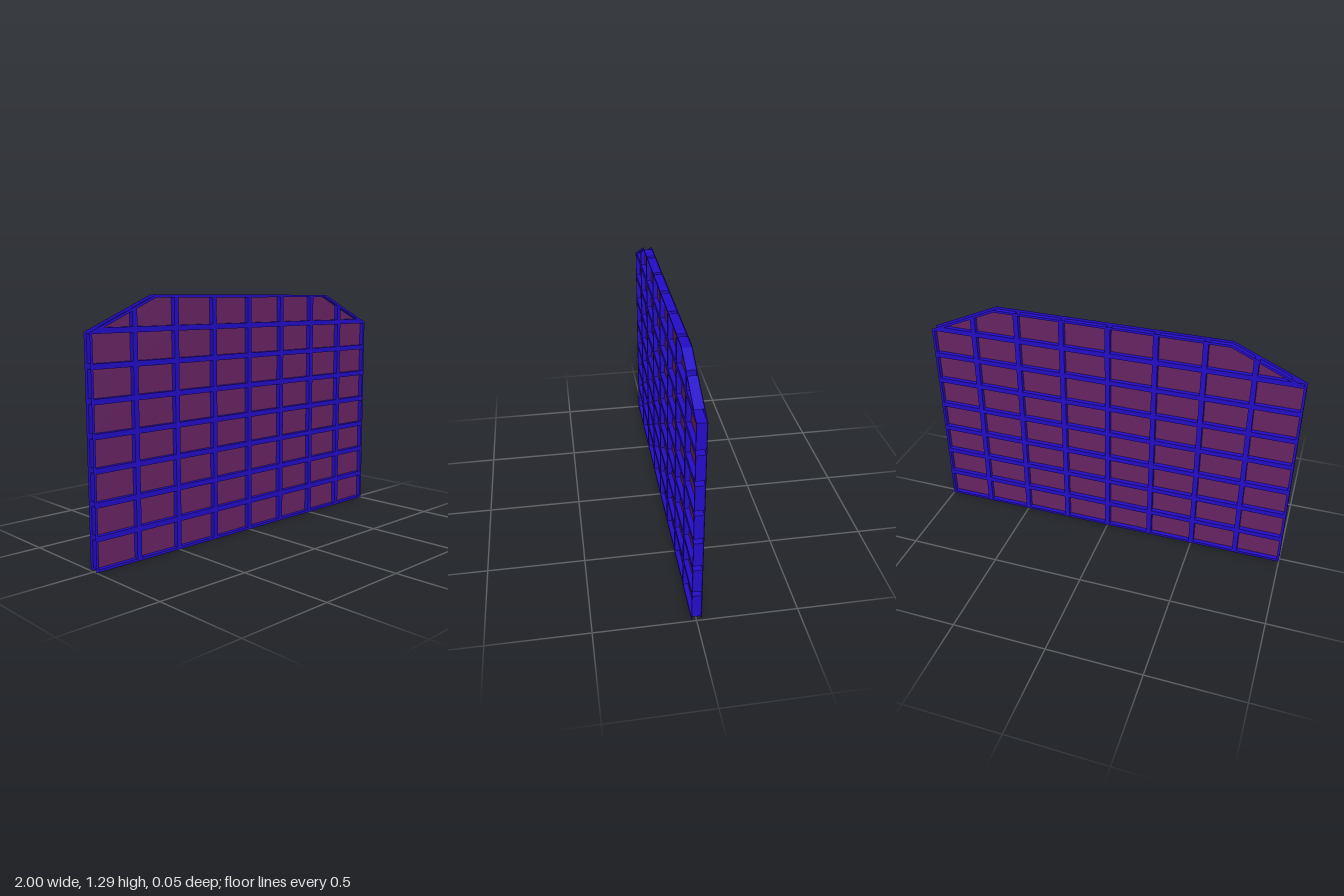
import * as THREE from 'three';
import { mergeGeometries } from 'three/addons/utils/BufferGeometryUtils.js';

const COLS = 8, ROWS = 8;
const HEIGHT = 1.286, SHOULDER = 1.12, APEX = 0.625; // panel outline with cut-off top corners
const INSET = 0.0135;                                // half the width of a grid bar
const DEPTH = 0.024;                                 // half the thickness of the frame

// Height of the inset sloping edge at a given |x|
const slope = (HEIGHT - SHOULDER) / (1 - APEX);
const slopeTop = (x) => SHOULDER + (1 - Math.abs(x)) * slope - INSET * Math.hypot(1, slope);

// Keep the part of a convex polygon below the sloping edge on one side
function clipCorner(points, side) {
  const room = ([x, y]) => slopeTop(0) - slope * side * x - y;
  const kept = [];
  points.forEach((a, i) => {
    const b = points[(i + 1) % points.length];
    const da = room(a), db = room(b);
    if (da >= 0) kept.push(a);
    if (da * db < 0) {
      const t = da / (da - db);
      kept.push([a[0] + (b[0] - a[0]) * t, a[1] + (b[1] - a[1]) * t]);
    }
  });
  return kept;
}

// Openings of the grid, trimmed at the two top corners
function makeCells() {
  const cells = [];
  const w = 2 / COLS, h = HEIGHT / ROWS;
  for (let r = 0; r < ROWS; r++) {
    for (let c = 0; c < COLS; c++) {
      const x0 = -1 + c * w + INSET, x1 = -1 + (c + 1) * w - INSET;
      const y0 = r * h + INSET, y1 = (r + 1) * h - INSET;
      let cell = [[x0, y0], [x1, y0], [x1, y1], [x0, y1]];
      // Only the top row meets the sloping edges
      if (r === ROWS - 1) cell = clipCorner(clipCorner(cell, 1), -1);
      cells.push(cell);
    }
  }
  return cells;
}

const toVectors = (points) => points.map(([x, y]) => new THREE.Vector2(x, y));

// Side walls of one opening, running from the back face to the front face
function cellWalls(points) {
  return points.map((a, i) => {
    const b = points[(i + 1) % points.length];
    const length = Math.hypot(b[0] - a[0], b[1] - a[1]);
    const wall = new THREE.PlaneGeometry(length, 2 * DEPTH);
    wall.rotateX(-Math.PI / 2);
    wall.rotateZ(Math.atan2(b[1] - a[1], b[0] - a[0]));
    wall.translate((a[0] + b[0]) / 2, (a[1] + b[1]) / 2, 0);
    return wall;
  });
}

export function createModel() {
  const group = new THREE.Group();
  group.name = 'gridPanel';
  const frameMaterial = new THREE.MeshStandardMaterial({ color: 0x240cc8, side: THREE.DoubleSide });
  const paneMaterial = new THREE.MeshStandardMaterial({ color: 0x682464, side: THREE.DoubleSide });
  const add = (name, geometry, material) => {
    const mesh = new THREE.Mesh(geometry, material);
    mesh.name = name;
    group.add(mesh);
  };

  const cells = makeCells();

  // Front and back faces of the bars
  const outline = new THREE.Shape(toVectors([
    [-1, 0], [1, 0], [1, SHOULDER], [APEX, HEIGHT], [-APEX, HEIGHT], [-1, SHOULDER],
  ]));
  outline.holes = cells.map((cell) => new THREE.Path(toVectors(cell).reverse()));
  const front = new THREE.ShapeGeometry(outline).translate(0, 0, DEPTH);
  const back = new THREE.ShapeGeometry(outline).rotateY(Math.PI).translate(0, 0, -DEPTH);
  add('frameFront', front, frameMaterial);
  add('frameBack', back, frameMaterial);

  // Inner sides of the bars; the outer rim stays open
  add('barSides', mergeGeometries(cells.flatMap(cellWalls)), frameMaterial);

  // Thin panes in the middle of the openings
  const panes = cells.map((cell) => new THREE.ShapeGeometry(new THREE.Shape(toVectors(cell))));
  add('panes', mergeGeometries(panes), paneMaterial);

  return group;
}
